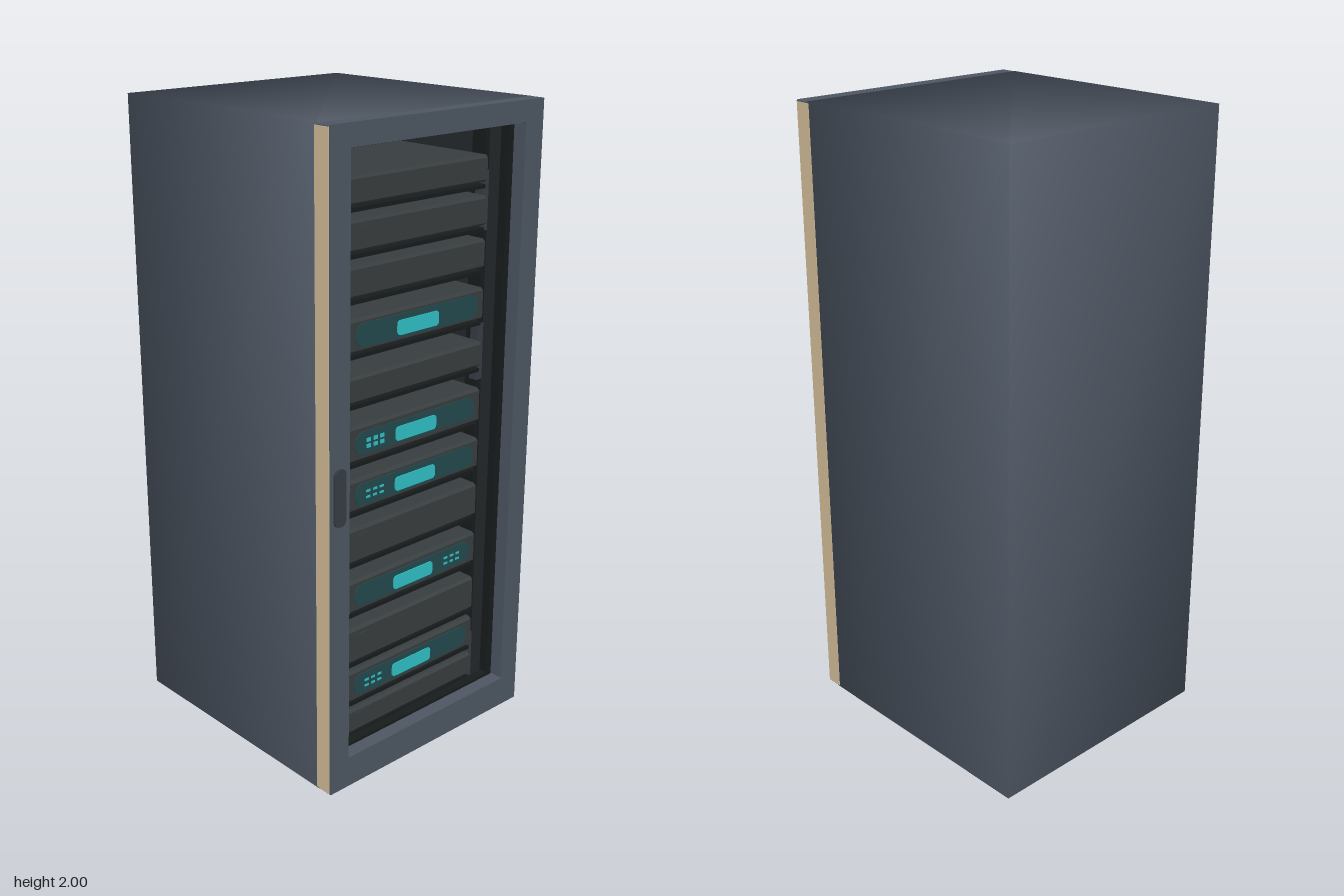
import * as THREE from 'three';
import { mergeVertices } from 'three/addons/utils/BufferGeometryUtils.js';

const paint = (name, color, extra = {}) =>
  Object.assign(new THREE.MeshStandardMaterial({ color, ...extra }), { name });

export function createModel() {
  const steel = paint('blue grey steel', 0x4d5663, { side: THREE.DoubleSide });
  const tan = paint('tan trim', 0xd2bc98);
  const dark = paint('dark interior', 0x26292c);
  const black = paint('black metal', 0x181b1c);
  const unit = paint('charcoal unit', 0x373d3e);
  const grip = paint('handle grey', 0x363d45);
  const teal = paint('glowing teal', 0x2fbfc4);
  const deepTeal = paint('deep teal', 0x21494e);

  const model = new THREE.Group();
  model.name = 'serverCabinet';

  const add = (name, geometry, material, x = 0, y = 0, z = 0, parent = model) => {
    const mesh = new THREE.Mesh(geometry, material);
    mesh.name = name;
    mesh.position.set(x, y, z);
    parent.add(mesh);
    return mesh;
  };
  const box = (name, material, w, h, d, x, y, z, parent) =>
    add(name, new THREE.BoxGeometry(w, h, d), material, x, y, z, parent);

  // Rounded rectangle outline, centred on x, y
  const roundRect = (w, h, r, x = 0, y = 0, Type = THREE.Shape) => {
    const s = new Type(), a = w / 2 - r, b = h / 2 - r;
    s.absarc(x + a, y + b, r, 0, Math.PI / 2);
    s.absarc(x - a, y + b, r, Math.PI / 2, Math.PI);
    s.absarc(x - a, y - b, r, Math.PI, Math.PI * 1.5);
    s.absarc(x + a, y - b, r, Math.PI * 1.5, Math.PI * 2);
    s.closePath();
    return s;
  };
  const plate = (name, material, w, h, r, x, y, z, parent, depth = 0.004) =>
    add(name, new THREE.ExtrudeGeometry(roundRect(w, h, r), { depth, bevelEnabled: false, curveSegments: 5 }),
      material, x, y, z, parent);

  // Outer shell: softly shaded box with an open front
  const shell = new THREE.BoxGeometry(0.84, 2, 0.85);
  shell.deleteAttribute('normal');
  shell.deleteAttribute('uv');
  const smooth = mergeVertices(shell);
  smooth.computeVertexNormals();
  const index = [...smooth.index.array];
  index.splice(24, 6); // front face
  smooth.setIndex(index);
  add('cabinetShell', smooth, steel, 0, 1, -0.025);

  // Dark lining of the cabinet
  box('backLining', dark, 0.82, 1.98, 0.01, 0, 1, -0.43);
  for (const s of [-1, 1]) {
    box('sideLining', dark, 0.01, 1.98, 0.82, s * 0.405, 1, -0.02);
    box('endLining', dark, 0.82, 0.01, 0.82, 0, 1 + s * 0.985, -0.02);
  }

  // Door frame with a rectangular opening
  const frame = roundRect(0.84, 2, 0.004, 0, 1);
  frame.holes.push(roundRect(0.69, 1.835, 0.004, 0, 1.0175, THREE.Path));
  add('doorFrame', new THREE.ExtrudeGeometry(frame, { depth: 0.05, bevelEnabled: false }), steel, 0, 0, 0.4);

  // Black inner gasket
  const gasket = roundRect(0.70, 1.85, 0.004, 0, 1.0175);
  gasket.holes.push(roundRect(0.645, 1.815, 0.004, 0, 1.0175, THREE.Path));
  add('doorGasket', new THREE.ExtrudeGeometry(gasket, { depth: 0.03, bevelEnabled: false }), black, 0, 0, 0.375);

  // Tan trim along both door edges
  for (const s of [-1, 1])
    box('doorTrim', tan, 0.004, 1.99, 0.055, s * 0.42, 1, 0.42);

  // Door handle
  plate('doorHandle', grip, 0.042, 0.175, 0.018, -0.385, 0.965, 0.449, model, 0.008);

  // Mounting rails
  for (const s of [-1, 1]) {
    box('mountingRail', black, 0.02, 1.82, 0.05, s * 0.298, 1.01, 0.32);
    box('rearRail', black, 0.03, 1.96, 0.05, s * 0.32, 1, -0.3);
  }
  for (const y of [1.7, 1.23, 0.16])
    box('cableBracket', grip, 0.025, 0.18, 0.03, 0.292, y, 0.335);

  // Rack units: [bottom, top, panel kind], kind 0 plain, 1 lit, 2 lit left, 3 lit right
  const units = [
    [1.76, 1.84, 0], [1.63, 1.72, 0], [1.50, 1.59, 0], [1.34, 1.44, 1],
    [1.19, 1.27, 0], [1.01, 1.12, 2], [0.855, 0.955, 2], [0.69, 0.80, 0],
    [0.525, 0.63, 3], [0.355, 0.47, 0], [0.22, 0.325, 2], [0.11, 0.19, 0],
  ];
  units.forEach(([y0, y1, kind], i) => {
    const rack = new THREE.Group();
    rack.name = 'rackUnit' + (i + 1);
    rack.position.y = (y0 + y1) / 2;
    model.add(rack);
    const h = y1 - y0;

    // Body with chamfered front lips, extruded across the width
    const side = new THREE.Shape();
    [[0.37, -h / 2 + 0.008], [0.37, h / 2 - 0.008], [0.36, h / 2], [-0.25, h / 2], [-0.25, -h / 2], [0.36, -h / 2]]
      .forEach(([z, y], k) => (k ? side.lineTo(z, y) : side.moveTo(z, y)));
    const body = new THREE.ExtrudeGeometry(side, { depth: 0.55, bevelEnabled: false });
    body.rotateY(-Math.PI / 2).translate(0.275, 0, 0);
    add('unitBody', body, unit, 0, 0, 0, rack);

    // Ledge below each unit
    box('unitLedge', black, 0.56, 0.012, 0.6, 0, -h / 2 - 0.014, 0.06, rack);

    if (!kind) {
      box('statusMark', grip, 0.045, 0.006, 0.004, i % 2 ? -0.22 : 0.21, h * (i % 2 ? 0.3 : -0.3), 0.371, rack);
      return;
    }
    // Lit display and its dark surround
    plate('displaySurround', deepTeal, 0.5, 0.07, 0.03, 0, 0, 0.369, rack);
    plate('display', teal, 0.17, 0.045, 0.012, -0.006, -0.005, 0.372, rack);
    if (kind > 1) {
      const x0 = kind === 2 ? -0.2 : 0.14;
      for (let k = 0; k < 6; k++)
        box('statusLight', teal, 0.016, i === 5 ? 0.012 : 0.007, 0.004,
          x0 + (k % 3) * 0.027, k < 3 ? 0.007 : -0.012, 0.373, rack);
    }
  });

  return model;
}
